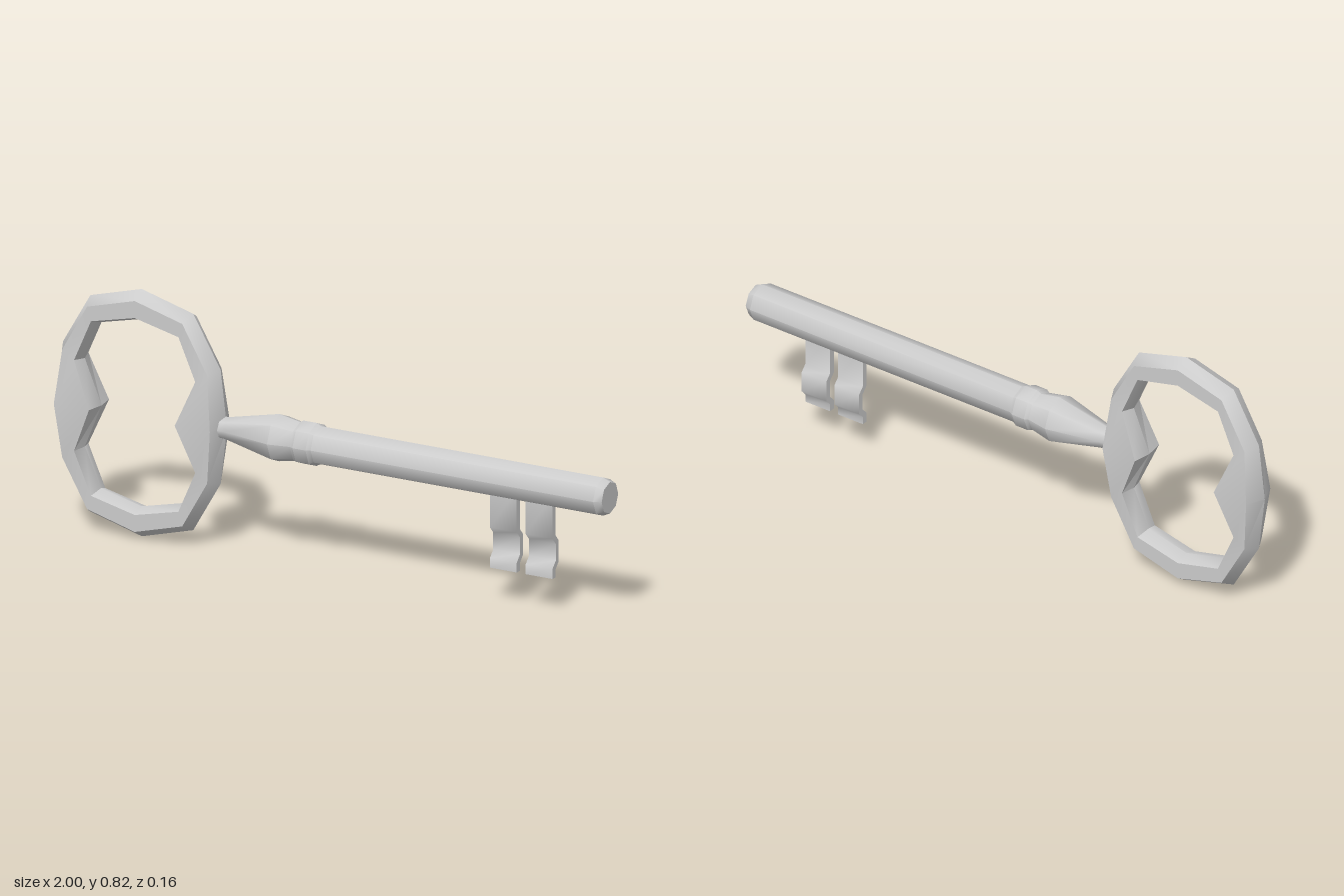
import * as THREE from 'three';
import { toCreasedNormals } from 'three/addons/utils/BufferGeometryUtils.js';

const AXIS_Y = 0.408;
const material = new THREE.MeshStandardMaterial({ color: 0xcccccc });

function addMesh(group, geometry, name) {
  const mesh = new THREE.Mesh(toCreasedNormals(geometry, 0.8), material);
  mesh.name = name;
  group.add(mesh);
}

// Oval twelve-sided bow: a hexagonal section swept around, swelling at both sides
function bowGeometry() {
  // [outer ridge x, y, outer edge x, y, inner edge x, y, inner ridge x, y, half depth]
  const quarter = [
    [0.308, 0, 0.282, 0, 0.155, 0, 0.145, 0, 0.063],
    [0.285, 0.188, 0.262, 0.178, 0.219, 0.15, 0.206, 0.146, 0.045],
    [0.186, 0.357, 0.172, 0.334, 0.158, 0.288, 0.148, 0.274, 0.045],
    [0, 0.408, 0, 0.381, 0, 0.325, 0, 0.309, 0.045],
  ];
  const mirror = (s, mx, my) => s.map((v, i) => (i === 8 ? v : v * (i % 2 ? my : mx)));
  const half = [...quarter, mirror(quarter[2], -1, 1), mirror(quarter[1], -1, 1)];
  const stations = [...half, ...half.map((s) => mirror(s, -1, -1))];

  const positions = [];
  for (const [ox, oy, ex, ey, ix, iy, rx, ry, w] of stations) {
    positions.push(ox, oy, 0, ex, ey, w, ix, iy, w, rx, ry, 0, ix, iy, -w, ex, ey, -w);
  }
  const index = [];
  const n = stations.length;
  for (let i = 0; i < n; i++) {
    for (let j = 0; j < 6; j++) {
      const a = i * 6 + j, b = i * 6 + ((j + 1) % 6);
      const c = ((i + 1) % n) * 6 + j, d = ((i + 1) % n) * 6 + ((j + 1) % 6);
      index.push(a, c, b, b, c, d);
    }
  }
  const geometry = new THREE.BufferGeometry();
  geometry.setAttribute('position', new THREE.Float32BufferAttribute(positions, 3));
  geometry.setIndex(index);
  return geometry;
}

// Octagonal turned stem along x, with a tapered neck, a collar and a chamfered tip
function stemGeometry() {
  const profile = [
    [-0.41, 0], [-0.41, 0.036], [-0.375, 0.038], [-0.195, 0.078], [-0.12, 0.064],
    [-0.107, 0.071], [-0.06, 0.071], [-0.046, 0.063], [0.975, 0.063], [1, 0.052], [1, 0],
  ];
  const points = profile.map(([x, r]) => new THREE.Vector2(r, x));
  return new THREE.LatheGeometry(points, 8).rotateZ(-Math.PI / 2);
}

// Stepped plate, its profile extruded along x
function bitGeometry(x, width) {
  const shape = new THREE.Shape([
    [-0.012, 0.38], [-0.012, 0.243], [0.009, 0.22], [0.009, 0.164], [-0.012, 0.142], [-0.012, 0.11],
    [0.008, 0.11], [0.008, 0.136], [0.027, 0.157], [0.027, 0.227], [0.008, 0.248], [0.008, 0.38],
  ].map(([u, v]) => new THREE.Vector2(u, v)));
  return new THREE.ExtrudeGeometry(shape, { depth: width, bevelEnabled: false })
    .rotateY(Math.PI / 2)
    .translate(x, 0, 0);
}

export function createModel() {
  const key = new THREE.Group();
  key.name = 'key';
  addMesh(key, bowGeometry().translate(-0.692, AXIS_Y, 0), 'bow');
  addMesh(key, stemGeometry().translate(0, AXIS_Y, 0), 'stem');
  addMesh(key, bitGeometry(0.573, 0.097), 'innerBit');
  addMesh(key, bitGeometry(0.702, 0.097), 'outerBit');
  return key;
}
